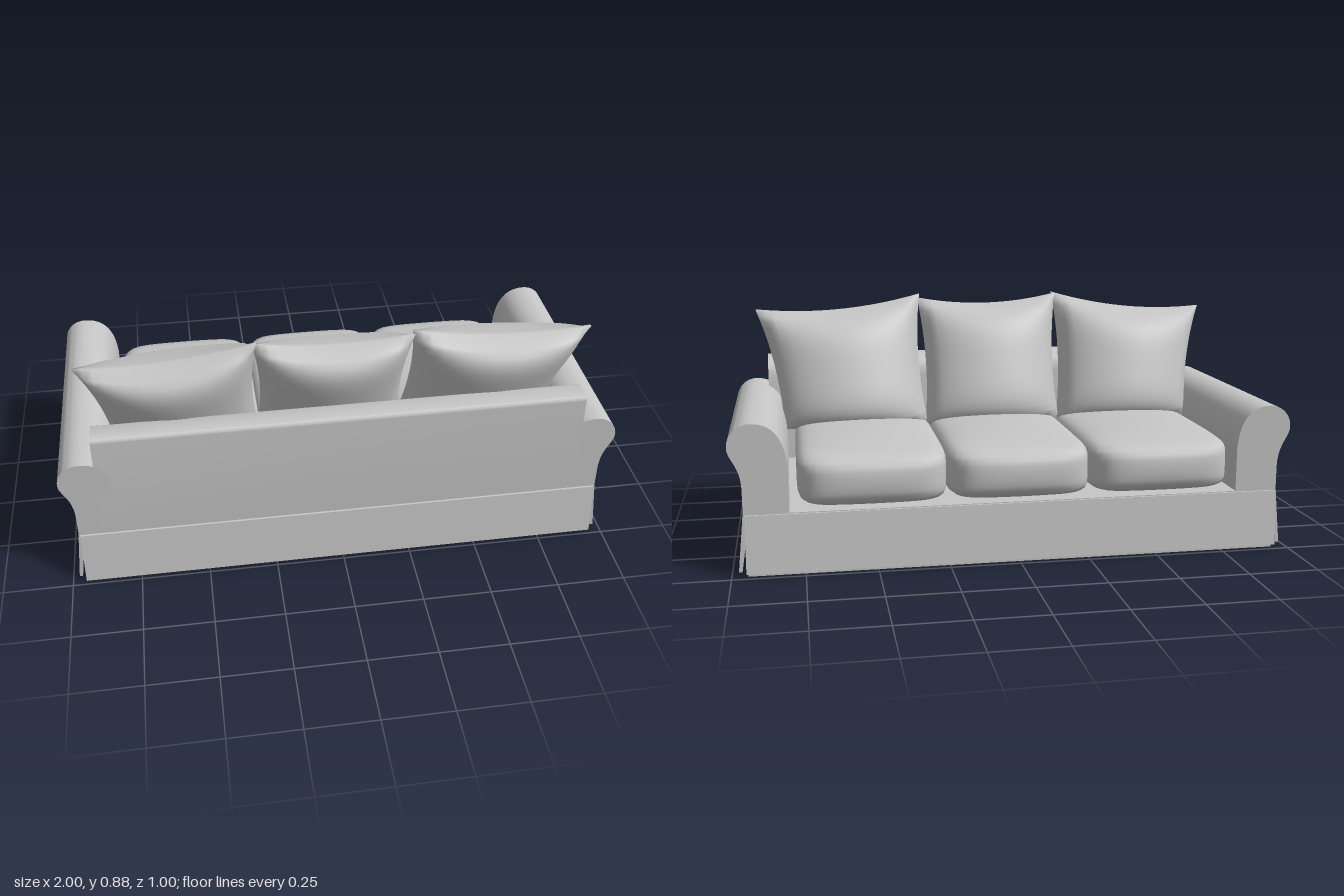
import * as THREE from 'three';
import { mergeVertices, toCreasedNormals } from 'three/addons/utils/BufferGeometryUtils.js';

const fabric = new THREE.MeshStandardMaterial({ color: 0xc6c6c6 });
fabric.name = 'light grey fabric';

function add(parent, name, geometry, x = 0, y = 0, z = 0) {
  const mesh = new THREE.Mesh(geometry, fabric);
  mesh.name = name;
  mesh.position.set(x, y, z);
  parent.add(mesh);
  return mesh;
}

// Moves every vertex of a subdivided cube (corners at +-1) by a rule, with smooth normals
function shapedCube(sx, sy, sz, rule) {
  let g = new THREE.BoxGeometry(2, 2, 2, sx, sy, sz);
  g.deleteAttribute('normal');
  g.deleteAttribute('uv');
  g = mergeVertices(g);
  const p = g.attributes.position;
  const v = new THREE.Vector3();
  for (let i = 0; i < p.count; i++) {
    v.fromBufferAttribute(p, i);
    rule(v);
    p.setXYZ(i, v.x, v.y, v.z);
  }
  g.computeVertexNormals();
  return g;
}

// Plump seat cushion: rounded block with a crowned top and bowed front
function seatCushion(halfWidth) {
  return shapedCube(16, 10, 20, (v) => {
    const n = 7;
    const len = Math.pow(Math.abs(v.x) ** n + Math.abs(v.y) ** n + Math.abs(v.z) ** n, 1 / n);
    v.divideScalar(len);
    const crown = (1 - v.x * v.x) * (1 - v.z * v.z);
    const bow = v.z < 0 ? (1 - v.x * v.x) * (1 - v.y * v.y) * 0.02 : 0;
    v.set(v.x * halfWidth, v.y * (0.09 + 0.025 * crown), v.z * 0.41 - bow);
  });
}

// Leaning back pillow: corners are [left, right] x at top and bottom, and y at the top
function backPillow({ top, bottom, topY, thick }) {
  const { lerp } = THREE.MathUtils;
  const N = 20;
  return shapedCube(N, N, 2, (v) => {
    const u = v.x, w = v.y;
    const s = (u + 1) / 2, t = (w + 1) / 2;
    const pinchX = 1 - 0.07 * (1 - w * w);
    const left = lerp(bottom[0], top[0], t), right = lerp(bottom[1], top[1], t);
    const x = (left + right) / 2 + u * (right - left) / 2 * pinchX;
    const y = lerp(0.38, lerp(topY[0], topY[1], s), t) - 0.03 * (1 - u * u) * t * t;
    const puff = Math.pow(1 - u * u, 0.55) * Math.pow(1 - w ** 4, 0.5);
    const middle = 0.14 + (y - 0.38) * 0.38;
    v.set(x, y, middle + v.z * (thick * puff + 0.006));
  });
}

// Skirt panel hanging along +z, flaring outward at the hem
function skirtPanel(length, flare) {
  const g = new THREE.BoxGeometry(length, 0.2, 0.012);
  const p = g.attributes.position;
  for (let i = 0; i < p.count; i++) if (p.getY(i) < 0) p.setZ(i, p.getZ(i) + flare);
  g.computeVertexNormals();
  return g;
}

// Rolled arm section, for the +x side
function armGeometry(side) {
  const s = new THREE.Shape();
  s.moveTo(0.80, 0.215);
  s.lineTo(0.80, 0.37);
  s.bezierCurveTo(0.805, 0.46, 0.835, 0.53, 0.92, 0.53);
  s.bezierCurveTo(0.965, 0.53, 1.0, 0.495, 1.0, 0.45);
  s.bezierCurveTo(1.0, 0.41, 0.955, 0.39, 0.955, 0.30);
  s.lineTo(0.955, 0.215);
  s.closePath();
  const shape = side > 0 ? s
    : new THREE.Shape(s.getPoints(12).map((q) => new THREE.Vector2(-q.x, q.y)));
  const g = new THREE.ExtrudeGeometry(shape, { depth: 0.94, bevelEnabled: false, curveSegments: 12 });
  return toCreasedNormals(g, 0.6);
}

// Backrest section in z and y with eased top edges, extruded along x
function backrestGeometry() {
  const s = new THREE.Shape();
  s.moveTo(-0.47, 0.215);
  s.lineTo(-0.47, 0.615);
  s.quadraticCurveTo(-0.47, 0.63, -0.455, 0.632);
  s.lineTo(-0.39, 0.632);
  s.quadraticCurveTo(-0.345, 0.61, -0.34, 0.55);
  s.lineTo(-0.34, 0.215);
  s.closePath();
  const g = new THREE.ExtrudeGeometry(s, { depth: 1.74, bevelEnabled: false, curveSegments: 5 });
  g.rotateY(Math.PI / 2);
  g.translate(-0.87, 0, 0);
  return toCreasedNormals(g, 0.6);
}

export function createModel() {
  const sofa = new THREE.Group();
  sofa.name = 'sofa';

  // Base and hem plinth
  add(sofa, 'base', new THREE.BoxGeometry(1.9, 0.212, 0.94), 0, 0.112, 0);
  add(sofa, 'plinth', new THREE.BoxGeometry(1.89, 0.015, 0.95), 0, 0.0075, 0);

  // Flared skirt on all four sides
  for (const side of [1, -1]) {
    const long = add(sofa, side > 0 ? 'backSkirt' : 'frontSkirt', skirtPanel(1.9, 0.02), 0, 0.115, side * 0.472);
    long.rotation.y = side > 0 ? 0 : Math.PI;
    const short = add(sofa, side > 0 ? 'leftSkirt' : 'rightSkirt', skirtPanel(0.94, 0.02), side * 0.95, 0.115, 0);
    short.rotation.y = side * Math.PI / 2;
  }

  // Rolled arms
  for (const side of [1, -1]) {
    add(sofa, side > 0 ? 'leftArm' : 'rightArm', armGeometry(side), 0, 0, -0.47);
  }

  add(sofa, 'backrest', backrestGeometry());

  // Seat cushions, facing -z
  [[-0.527, 0.262], [-0.012, 0.258], [0.508, 0.264]].forEach(([x, half], i) => {
    add(sofa, 'seatCushion' + (i + 1), seatCushion(half), x, 0.315, -0.07);
  });

  // Back pillows
  [
    { top: [-0.91, -0.285], bottom: [-0.81, -0.27], topY: [0.815, 0.88], thick: 0.152 },
    { top: [-0.30, 0.27], bottom: [-0.28, 0.26], topY: [0.875, 0.865], thick: 0.14 },
    { top: [0.26, 0.91], bottom: [0.25, 0.81], topY: [0.88, 0.83], thick: 0.15 },
  ].forEach((p, i) => add(sofa, 'backPillow' + (i + 1), backPillow(p)));

  return sofa;
}
